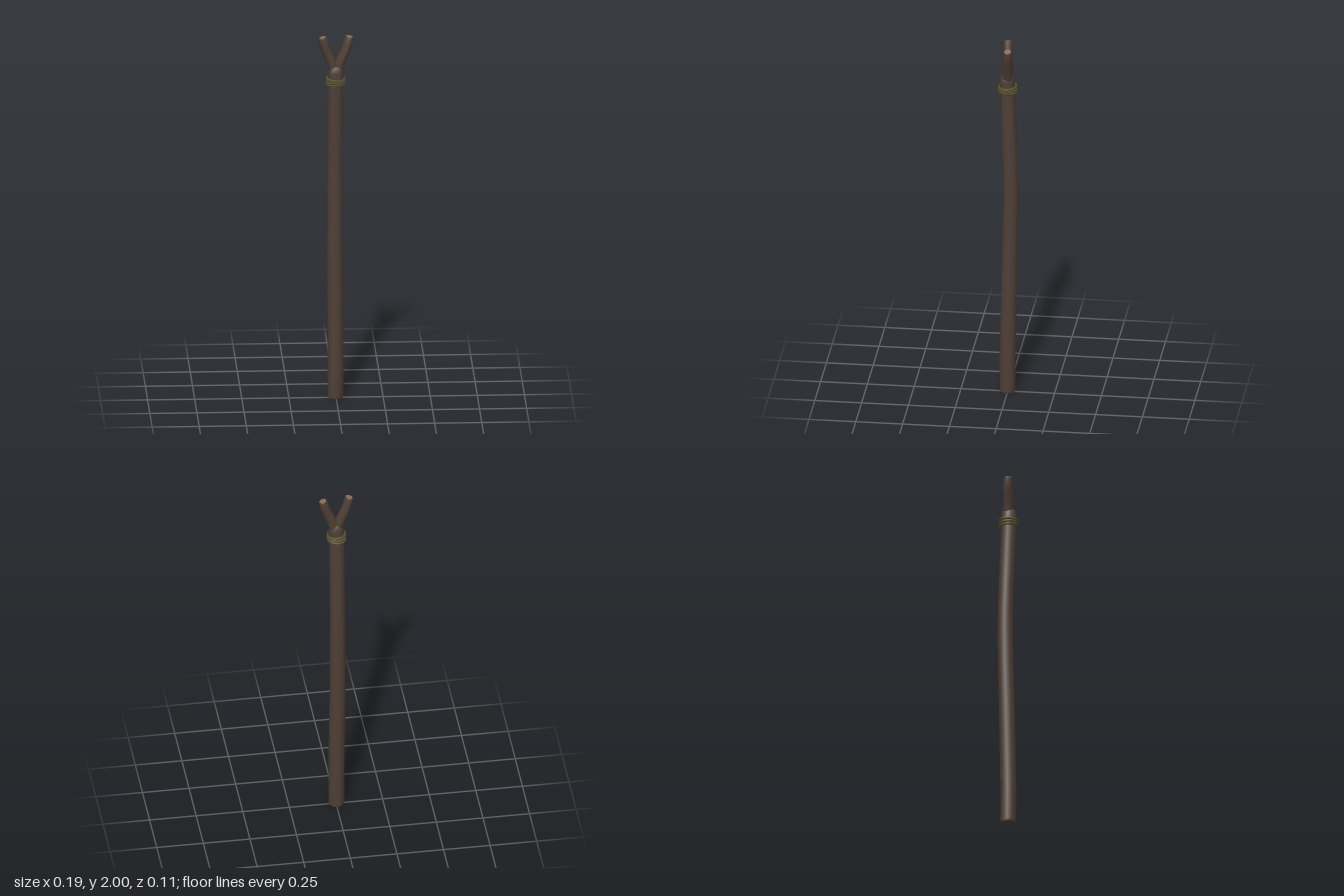
import * as THREE from 'three';

const bark = new THREE.MeshStandardMaterial({ color: 0x4e3f35 });
const cutWood = new THREE.MeshStandardMaterial({ color: 0x8c6b57 });
const cord = new THREE.MeshStandardMaterial({ color: 0x57502f });

// Skins rings along a list of [x, y, z, radius] stations; ends stay open.
function limb(stations, sides, name) {
  const centres = stations.map(([x, y, z]) => new THREE.Vector3(x, y, z));
  const positions = [], indices = [];
  const frontAxis = new THREE.Vector3(0, 0, 1);
  let end;
  centres.forEach((c, i) => {
    const before = centres[Math.max(i - 1, 0)];
    const after = centres[Math.min(i + 1, centres.length - 1)];
    const along = after.clone().sub(before).normalize();
    const side = along.clone().cross(frontAxis).normalize();
    const front = side.clone().cross(along).normalize();
    end = { centre: c, along, radius: stations[i][3] };
    for (let j = 0; j < sides; j++) {
      const a = (j / sides) * Math.PI * 2;
      const p = c.clone()
        .addScaledVector(side, Math.cos(a) * stations[i][3])
        .addScaledVector(front, Math.sin(a) * stations[i][3]);
      positions.push(p.x, p.y, p.z);
      if (i === 0) continue;
      const k = (j + 1) % sides, lo = (i - 1) * sides, hi = i * sides;
      indices.push(lo + j, hi + j, lo + k, lo + k, hi + j, hi + k);
    }
  });
  const geometry = new THREE.BufferGeometry();
  geometry.setAttribute('position', new THREE.Float32BufferAttribute(positions, 3));
  geometry.setIndex(indices);
  geometry.computeVertexNormals();
  const mesh = new THREE.Mesh(geometry, bark);
  mesh.name = name;
  return { mesh, end };
}

// Flat disc closing a limb.
function disc(centre, normal, radius, sides, material, name) {
  const mesh = new THREE.Mesh(new THREE.CircleGeometry(radius, sides), material);
  mesh.position.copy(centre);
  mesh.quaternion.setFromUnitVectors(new THREE.Vector3(0, 0, 1), normal);
  mesh.name = name;
  return mesh;
}

export function createModel() {
  const model = new THREE.Group();
  model.name = 'forkedPole';

  // Slightly crooked shaft with a worn foot and a rounded shoulder
  const shaft = limb([
    [-0.002, 0, 0, 0.038],
    [-0.002, 0.012, 0, 0.043],
    [-0.002, 0.2, 0.001, 0.043],
    [-0.004, 0.45, -0.003, 0.043],
    [-0.006, 0.7, -0.007, 0.043],
    [-0.006, 0.9, -0.012, 0.042],
    [-0.006, 1.1, -0.015, 0.042],
    [-0.006, 1.25, -0.014, 0.041],
    [-0.005, 1.4, -0.009, 0.041],
    [-0.004, 1.6, -0.002, 0.041],
    [-0.003, 1.75, 0.003, 0.041],
    [-0.001, 1.8, 0.003, 0.041],
    [0, 1.822, 0.003, 0.036],
    [0, 1.835, 0.003, 0.026],
  ], 10, 'shaft');
  model.add(shaft.mesh);
  model.add(disc(new THREE.Vector3(-0.002, 0, 0), new THREE.Vector3(0, -1, 0),
    0.038, 10, bark, 'foot'));
  model.add(disc(shaft.end.centre, new THREE.Vector3(0, 1, 0), 0.026, 10, bark, 'shoulder'));

  // Two prongs, bending outward then upward, each with a pale cut end
  for (const [s, name] of [[1, 'left'], [-1, 'right']]) {
    const prong = limb([
      [s * 0.004, 1.79, 0, 0.028],
      [s * 0.016, 1.835, -s * 0.001, 0.028],
      [s * 0.032, 1.88, -s * 0.002, 0.027],
      [s * 0.05, 1.92, -s * 0.004, 0.026],
      [s * 0.062, 1.955, -s * 0.006, 0.025],
      [s * 0.07, 1.99, -s * 0.008, 0.024],
      [s * 0.072, 1.997, -s * 0.008, 0.019],
    ], 8, name + 'Prong');
    model.add(prong.mesh);
    model.add(disc(prong.end.centre, prong.end.along, 0.0195, 8, cutWood, name + 'CutEnd'));
  }

  // Cord lashing: three slightly tilted loops
  const lashing = new THREE.Group();
  lashing.name = 'lashing';
  for (let i = 0; i < 3; i++) {
    const loop = new THREE.Mesh(new THREE.TorusGeometry(0.047, 0.007, 6, 12), cord);
    loop.name = 'cordLoop';
    loop.rotation.set(Math.PI / 2 + (i - 1) * 0.05, (1 - i) * 0.06, 0);
    loop.position.set(-0.002, 1.737 + i * 0.014, 0.001);
    lashing.add(loop);
  }
  model.add(lashing);
  return model;
}
